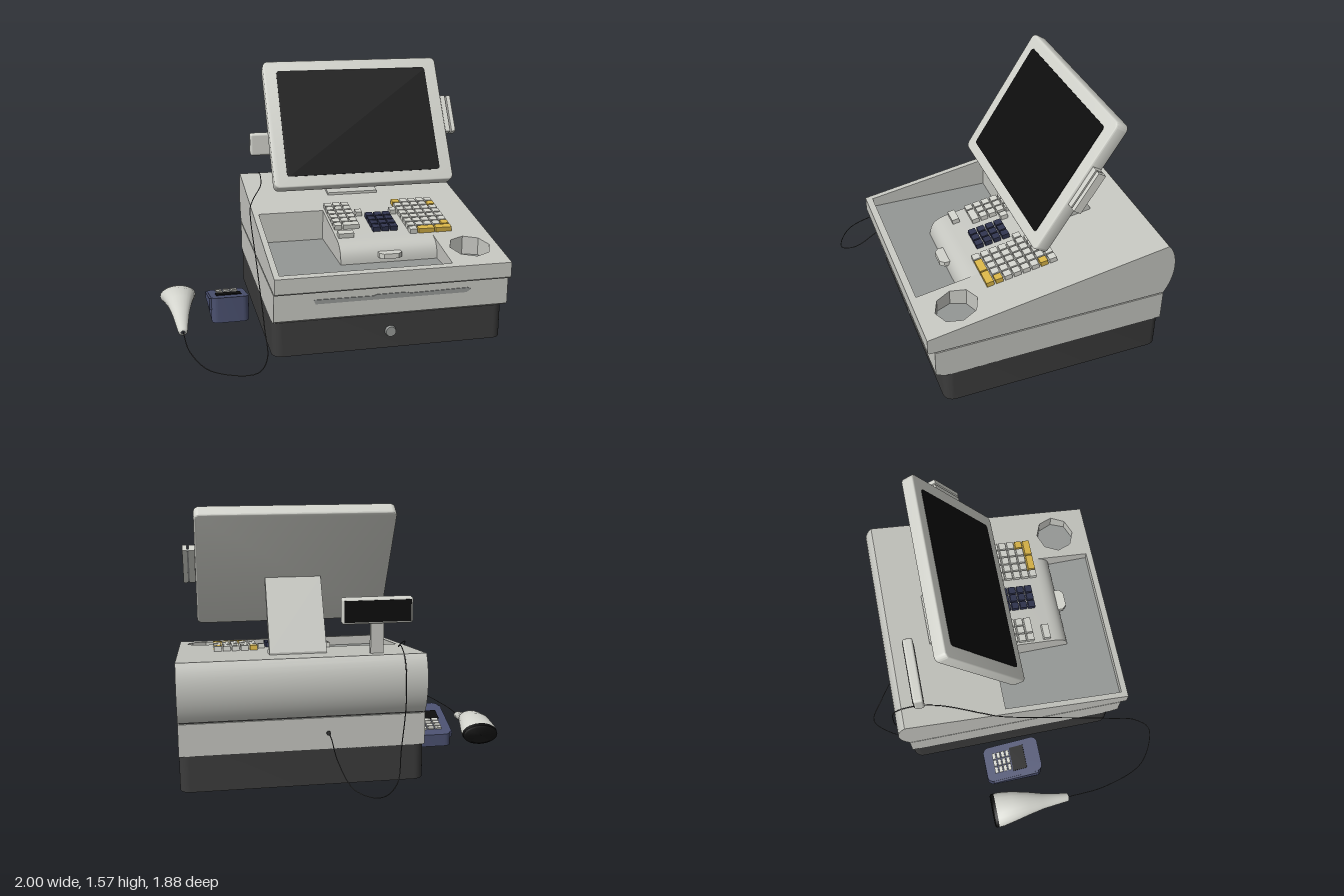
import * as THREE from 'three';
import { toCreasedNormals } from 'three/addons/utils/BufferGeometryUtils.js';
import { RoundedBoxGeometry } from 'three/addons/geometries/RoundedBoxGeometry.js';

const mat = (name, color) => new THREE.MeshStandardMaterial({ name, color });
const M = {
  body: mat('body grey', 0xc5c6c0), light: mat('light grey', 0xd2d3cc),
  tray: mat('tray grey', 0x949795), dark: mat('drawer charcoal', 0x3b3b3b),
  black: mat('screen black', 0x0d0d0d), navy: mat('terminal navy', 0x4b5170),
  navyKey: mat('key navy', 0x30344e), yellow: mat('key yellow', 0xd9b548),
};

const FLOOR = 0.45;
const slope = z => 0.51 + (0.76 - z) * 0.169;
const TILT = Math.atan(0.169);

function add(parent, name, geo, material, x = 0, y = 0, z = 0) {
  const m = new THREE.Mesh(geo, material);
  m.name = name;
  m.position.set(x, y, z);
  parent.add(m);
  return m;
}

const poly = pts => new THREE.Shape(pts.map(p => new THREE.Vector2(p[0], p[1])));

// side profile in (z, y), extruded from x0 to x1
function sideExtrude(shape, x0, x1) {
  const g = new THREE.ExtrudeGeometry(shape, { depth: x1 - x0, bevelEnabled: false, curveSegments: 10 });
  g.rotateY(-Math.PI / 2).translate(x1, 0, 0);
  return toCreasedNormals(g, 0.5);
}

// plan shape in (x, -z), extruded upwards
function planExtrude(shape, height) {
  const g = new THREE.ExtrudeGeometry(shape, { depth: height, bevelEnabled: false, curveSegments: 6 });
  return g.rotateX(-Math.PI / 2);
}

function roundRect(w, h, r) {
  const s = new THREE.Shape(), a = w / 2, b = h / 2, q = Math.PI / 2;
  s.absarc(a - r, b - r, r, 0, q);
  s.absarc(-a + r, b - r, r, q, 2 * q);
  s.absarc(-a + r, -b + r, r, 2 * q, 3 * q);
  s.absarc(a - r, -b + r, r, 3 * q, 4 * q);
  return s;
}

// elliptical rings along z: [z, centreY, radiusX, radiusY]
function loft(rings, n = 20) {
  const pos = [], idx = [];
  for (const [z, cy, rx, ry] of rings)
    for (let i = 0; i < n; i++) {
      const a = (i / n) * Math.PI * 2;
      pos.push(Math.cos(a) * rx, cy + Math.sin(a) * ry, z);
    }
  for (let r = 0; r < rings.length - 1; r++)
    for (let i = 0; i < n; i++) {
      const a = r * n + i, b = r * n + (i + 1) % n;
      idx.push(a, b, a + n, b, b + n, a + n);
    }
  const g = new THREE.BufferGeometry();
  g.setAttribute('position', new THREE.Float32BufferAttribute(pos, 3));
  g.setIndex(idx);
  g.computeVertexNormals();
  return g;
}

function buildCabinet(root) {
  // cash drawer and lock
  add(root, 'cashDrawer', toCreasedNormals(planExtrude(roundRect(1.4, 1.36, 0.06), 0.215), 0.6), M.dark, 0.3, 0, -0.01);
  const lock = add(root, 'drawerLock', new THREE.CylinderGeometry(0.03, 0.034, 0.02, 20), M.tray, 0.3, 0.105, 0.677);
  lock.rotation.x = Math.PI / 2;
  // middle housing with paper slot
  const mid = poly([[-0.69, 0.213], [0.67, 0.213], [0.72, 0.24], [0.72, 0.402], [-0.69, 0.402]]);
  add(root, 'middleHousing', sideExtrude(mid, -0.4, 1), M.body);
  const slot = poly([[-0.16, 0.332], [0.74, 0.332], [0.77, 0.35], [0.75, 0.36], [0.4, 0.355], [0.38, 0.362], [0.2, 0.362], [0.18, 0.355], [-0.17, 0.358]]);
  add(root, 'frontSlot', new THREE.ExtrudeGeometry(slot, { depth: 0.006, bevelEnabled: false }), M.tray, 0, 0, 0.719);
  add(root, 'housingSeam', new THREE.BoxGeometry(1.38, 0.012, 1.38), M.dark, 0.3, 0.406, 0.01);
  // upper housing: low front, raised back with a rounded rear
  const up = new THREE.Shape();
  up.moveTo(-0.69, 0.41);
  up.lineTo(0.75, 0.41);
  up.lineTo(0.76, 0.42);
  up.lineTo(0.76, FLOOR);
  up.lineTo(-0.05, FLOOR);
  up.lineTo(-0.05, slope(-0.05));
  up.lineTo(-0.69, slope(-0.69));
  up.bezierCurveTo(-0.755, 0.69, -0.77, 0.53, -0.69, 0.41);
  add(root, 'upperHousing', sideExtrude(up, -0.4, 1), M.body);
  // sloped deck pierced by the tray and the cup well
  const deck = poly([[-0.4, -0.76], [1, -0.76], [1, 0.05], [-0.4, 0.05]]);
  deck.holes.push(new THREE.Path([[-0.365, -0.72], [-0.365, 0.049], [0.65, 0.049], [0.65, -0.72]].map(p => new THREE.Vector2(...p))));
  const well = [];
  for (let i = 0; i < 8; i++) {
    const a = -i * Math.PI / 4;
    well.push(new THREE.Vector2(0.825 + 0.125 * Math.cos(a), -0.535 + 0.125 * Math.sin(a)));
  }
  deck.holes.push(new THREE.Path(well));
  const g = planExtrude(deck, 1), p = g.attributes.position;
  for (let i = 0; i < p.count; i++) p.setY(i, p.getY(i) > 0.5 ? slope(p.getZ(i)) : FLOOR);
  g.computeVertexNormals();
  add(root, 'slopedDeck', g, M.body);
  add(root, 'trayFloor', new THREE.BoxGeometry(1.015, 0.006, 0.77), M.tray, 0.1425, FLOOR + 0.002, 0.335);
  add(root, 'cupWellFloor', planExtrude(new THREE.Shape(well), 0.005), M.tray, 0, FLOOR, 0);
}

function buildKeyboard(root) {
  const kb = new THREE.Group();
  kb.name = 'keyboard';
  root.add(kb);
  // platform with a rounded front edge
  const s = new THREE.Shape();
  s.moveTo(-0.05, FLOOR);
  s.lineTo(0.455, FLOOR);
  s.bezierCurveTo(0.455, 0.53, 0.42, 0.565, 0.35, slope(0.35));
  s.lineTo(-0.05, slope(-0.05));
  add(kb, 'keyboardPlatform', sideExtrude(s, 0.05, 0.65), M.body);
  // pull tab
  const tab = poly([[-0.07, 0.05], [-0.07, -0.03], [-0.045, -0.055], [0.045, -0.055], [0.07, -0.03], [0.07, 0.05]].reverse());
  add(kb, 'pullTab', planExtrude(tab, 0.03), M.light, 0.35, 0.49, 0.445);
  // keys, placed by column and row on the slope
  const P = 0.055;
  const key = (x, row, w, material) => {
    const z = 0.315 - row * P;
    const m = add(kb, 'key', new THREE.BoxGeometry(w * P - 0.009, 0.036, P - 0.01), material, x + w * P / 2, slope(z) + 0.012, z);
    m.rotation.x = TILT;
  };
  key(0.06, 0, 1.9, M.light);
  for (let r = 2; r < 8; r++) {
    if (r === 2) { key(0.06, r, 1, M.light); key(0.06 + P, r, 2, M.light); continue; }
    for (let c = 0; c < 3; c++) key(0.06 + c * P, r, 1, M.light);
  }
  for (let r = 1; r < 5; r++) for (let c = 0; c < 3; c++) key(0.29 + c * P, r, 1, M.navyKey);
  for (const x of [0.235, 0.46]) key(x, 5, 0.9, M.light);
  key(0.51, 0, 1, M.light);
  for (const c of [1, 3]) key(0.51 + c * P, 0, 2, M.yellow);
  for (let r = 1; r < 8; r++)
    for (let c = 0; c < 5; c++) {
      const accent = (r === 1 && c === 4) || (r === 7 && c === 0) || (r === 6 && c === 4);
      key(0.51 + c * P, r, 1, accent ? M.yellow : M.light);
    }
}

function buildMonitor(root) {
  const mon = new THREE.Group();
  mon.name = 'monitor';
  mon.position.set(0.297, 1.188, -0.168);
  mon.rotation.x = -0.563;
  root.add(mon);
  const b = 0.01;
  const slab = new THREE.ExtrudeGeometry(roundRect(1.155 - 2 * b, 0.852 - 2 * b, 0.025), { depth: 0.082 - 2 * b, bevelThickness: b, bevelSize: b, bevelSegments: 3, curveSegments: 6 });
  add(mon, 'monitorCase', toCreasedNormals(slab, 0.6), M.light, 0, 0, -0.041 + b);
  add(mon, 'screen', new THREE.ExtrudeGeometry(roundRect(0.99, 0.71, 0.02), { depth: 0.004, bevelEnabled: false }), M.black, 0, 0, 0.04);
  // card reader: two plates around a slot
  add(mon, 'cardReaderInner', new THREE.BoxGeometry(0.034, 0.25, 0.05), M.light, 0.595, 0.03, 0);
  add(mon, 'cardReaderOuter', new THREE.BoxGeometry(0.026, 0.25, 0.05), M.light, 0.635, 0.03, 0);
  add(mon, 'cardReaderBridge', new THREE.BoxGeometry(0.03, 0.24, 0.018), M.tray, 0.615, 0.03, -0.014);
  // stand arm with a flared foot
  const s = new THREE.Shape();
  s.moveTo(-0.13, 1.1);
  s.lineTo(-0.335, 0.795);
  s.bezierCurveTo(-0.37, 0.74, -0.36, 0.715, -0.27, 0.7);
  s.lineTo(-0.27, 0.675);
  s.lineTo(-0.445, 0.705);
  s.lineTo(-0.445, 0.725);
  s.lineTo(-0.18, 1.12);
  add(root, 'monitorStand', sideExtrude(s, 0.133, 0.467), M.body);
}

function buildCustomerDisplay(root) {
  add(root, 'displayPole', new THREE.BoxGeometry(0.075, 0.22, 0.032), M.body, -0.137, 0.82, -0.567);
  add(root, 'customerDisplay', new RoundedBoxGeometry(0.41, 0.15, 0.062, 3, 0.015), M.light, -0.137, 0.987, -0.569);
  add(root, 'customerScreen', new THREE.BoxGeometry(0.385, 0.125, 0.006), M.black, -0.137, 0.987, -0.6);
}

function buildTerminal(root) {
  const t = new THREE.Group();
  t.name = 'cardTerminal';
  t.position.set(-0.577, 0, -0.045);
  root.add(t);
  // wedge rising towards the front
  const k = 0.24, top = z => 0.134 + k * z;
  const g = planExtrude(roundRect(0.235, 0.37, 0.04), 1), p = g.attributes.position;
  for (let i = 0; i < p.count; i++) p.setY(i, p.getY(i) > 0.5 ? top(p.getZ(i)) : 0.012);
  add(t, 'terminalBody', toCreasedNormals(g, 0.6), M.navy);
  add(t, 'terminalSideStrip', sideExtrude(poly([[-0.15, 0.06], [0.155, 0.09], [0.155, 0.168], [-0.15, 0.095]]), -0.13, -0.115), M.navy);
  const plate = (name, w, h, d, m, x, z) => { add(t, name, new THREE.BoxGeometry(w, h, d), m, x, top(z), z).rotation.x = -Math.atan(k); };
  plate('terminalScreen', 0.16, 0.012, 0.095, M.black, 0, 0.04);
  for (let r = 0; r < 4; r++)
    for (let c = -1; c < 2; c++) plate('terminalKey', 0.04, 0.022, 0.022, M.light, c * 0.048, -0.115 + r * 0.03);
}

function buildScanner(root) {
  const rings = [[0.285, 0.035, 0.012, 0.01], [0.278, 0.035, 0.028, 0.023], [0.2, 0.05, 0.038, 0.03], [0.1, 0.08, 0.053, 0.037],
    [0, 0.108, 0.077, 0.052], [-0.1, 0.108, 0.1, 0.066], [-0.18, 0.09, 0.114, 0.068], [-0.215, 0.08, 0.115, 0.066]].reverse();
  add(root, 'scannerBody', loft(rings), M.light, -0.885, 0, 0);
  const nose = loft([[-0.243, 0.074, 0.001, 0.001], [-0.242, 0.074, 0.1, 0.052], [-0.235, 0.075, 0.112, 0.062], [-0.213, 0.08, 0.115, 0.066]]);
  add(root, 'scannerWindow', toCreasedNormals(nose, 0.6), M.black, -0.885, 0, 0);
  // cable from the scanner over the housing to the rear port
  const path = [[-0.885, 0.035, 0.28], [-0.86, 0.02, 0.55], [-0.75, 0.025, 0.83], [-0.53, 0.045, 0.935], [-0.46, 0.08, 0.85],
    [-0.445, 0.2, 0.66], [-0.43, 0.42, 0.3], [-0.412, 0.67, -0.1], [-0.38, 0.7, -0.2], [-0.29, 0.735, -0.45], [-0.275, 0.775, -0.6],
    [-0.27, 0.72, -0.73], [-0.27, 0.5, -0.765], [-0.25, 0.2, -0.745], [-0.22, 0.03, -0.8], [-0.09, 0.005, -0.935],
    [0.04, 0.03, -0.86], [0.12, 0.17, -0.765], [0.15, 0.29, -0.73], [0.16, 0.31, -0.69]].map(q => new THREE.Vector3(...q));
  add(root, 'cable', new THREE.TubeGeometry(new THREE.CatmullRomCurve3(path), 160, 0.003, 6), M.dark);
  const port = add(root, 'cablePort', new THREE.CylinderGeometry(0.012, 0.012, 0.02, 12), M.dark, 0.16, 0.31, -0.692);
  port.rotation.x = Math.PI / 2;
}

export function createModel() {
  const root = new THREE.Group();
  root.name = 'cashRegister';
  [buildCabinet, buildKeyboard, buildMonitor, buildCustomerDisplay, buildTerminal, buildScanner].forEach(f => f(root));
  return root;
}
